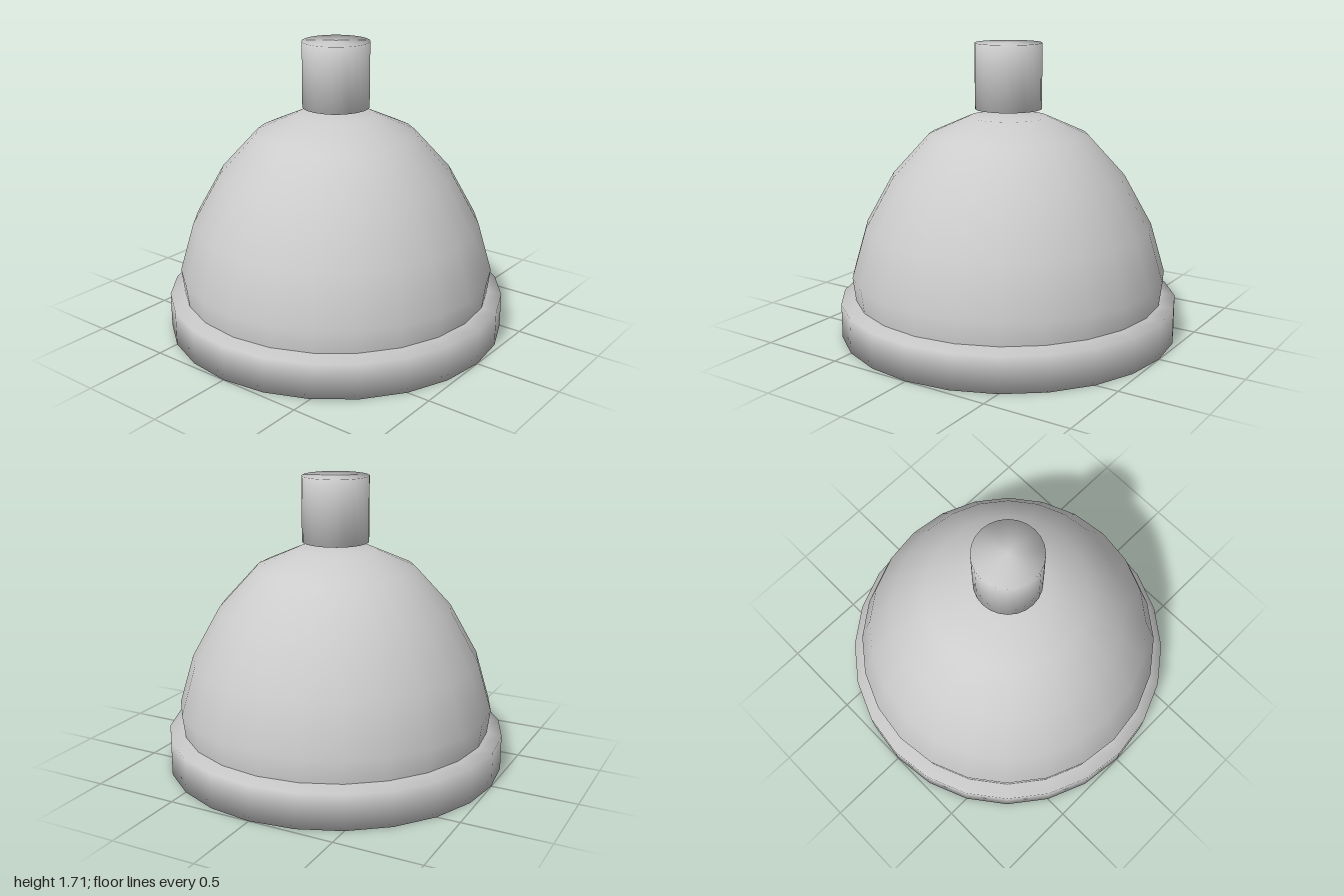
import * as THREE from 'three';

const SEGMENTS = 24;

export function createModel() {
  const model = new THREE.Group();
  model.name = 'deskBell';

  const grey = new THREE.MeshStandardMaterial({ color: 0xcccccc });
  grey.name = 'grey';

  // Turn a bottom-to-top [radius, height] profile into a softly shaded part
  const turned = (name, profile) => {
    const points = profile.map(([r, y]) => new THREE.Vector2(r, y));
    const mesh = new THREE.Mesh(new THREE.LatheGeometry(points, SEGMENTS), grey);
    mesh.name = name;
    model.add(mesh);
  };

  // Wide round base with a slightly sloping top
  turned('base', [[0, 0], [1, 0], [1, 0.205], [0.88, 0.23], [0, 0.23]]);

  // Bell dome, tucked in at its lower lip
  turned('dome', [
    [0.91, 0.2], [0.93, 0.36], [0.845, 0.65], [0.68, 0.945],
    [0.465, 1.18], [0.23, 1.285], [0, 1.295],
  ]);

  // Push button floating just above the dome
  turned('button', [[0, 1.33], [0.195, 1.33], [0.195, 1.71], [0, 1.71]]);

  return model;
}
